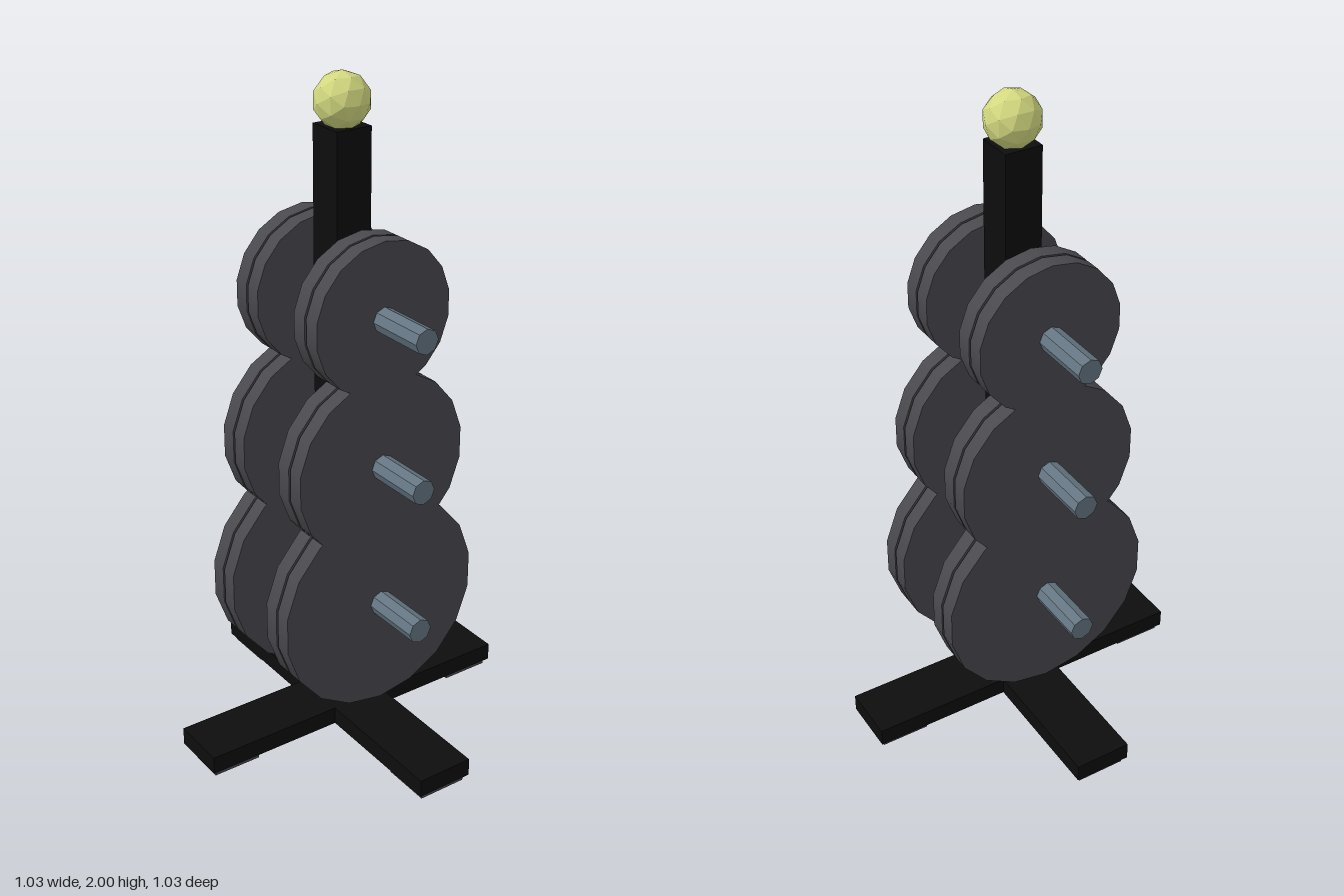
import * as THREE from 'three';

const mat = (name, color, flatShading = false) => {
  const m = new THREE.MeshStandardMaterial({ color, flatShading });
  m.name = name;
  return m;
};

export function createModel() {
  const root = new THREE.Group();
  root.name = 'weightPlateTree';

  const black = mat('blackFrame', 0x0d0d0d);
  const iron = mat('ironGrey', 0x49494e);
  const steel = mat('steelBlue', 0x647582, true);
  const yellow = mat('paleYellow', 0xd2d87f, true);

  const add = (name, geometry, material, x, y, z) => {
    const mesh = new THREE.Mesh(geometry, material);
    mesh.name = name;
    mesh.position.set(x, y, z);
    root.add(mesh);
    return mesh;
  };

  // Cross-shaped base: one full beam and two half beams meeting it
  const half = 0.517, beamW = 0.176, beamH = 0.055, beamY = 0.0475;
  add('baseBeam', new THREE.BoxGeometry(beamW, beamH, half * 2), black, 0, beamY, 0);
  const armLength = half - beamW / 2;
  for (const s of [-1, 1]) {
    add('baseArm', new THREE.BoxGeometry(armLength, beamH, beamW), black,
      s * (beamW / 2 + armLength / 2), beamY, 0);
  }

  // Square feet under the four beam ends
  for (const [x, z] of [[1, 0], [-1, 0], [0, 1], [0, -1]]) {
    add('foot', new THREE.BoxGeometry(0.15, 0.02, 0.15), iron, x * 0.43, 0.01, z * 0.43);
  }

  // Upright post and faceted ball on top
  add('post', new THREE.BoxGeometry(0.112, 1.785, 0.112), black, 0, 0.9625, 0);
  add('topBall', new THREE.IcosahedronGeometry(0.08, 1), yellow, 0, 1.92, 0);

  // Three pegs through the post, each with two plates per side
  const levels = [[0.478, 0.33], [0.922, 0.28], [1.365, 0.222]];
  for (const [y, radius] of levels) {
    add('peg', new THREE.CylinderGeometry(0.037, 0.037, 0.77, 8), steel, 0, y, 0)
      .rotation.z = Math.PI / 2;
    for (const x of [-0.173, -0.115, 0.115, 0.173]) {
      const disc = new THREE.CylinderGeometry(radius, radius, 0.05, 18, 1, false, Math.PI / 18);
      add('weightPlate', disc, iron, x, y, 0).rotation.z = Math.PI / 2;
    }
  }
  return root;
}
